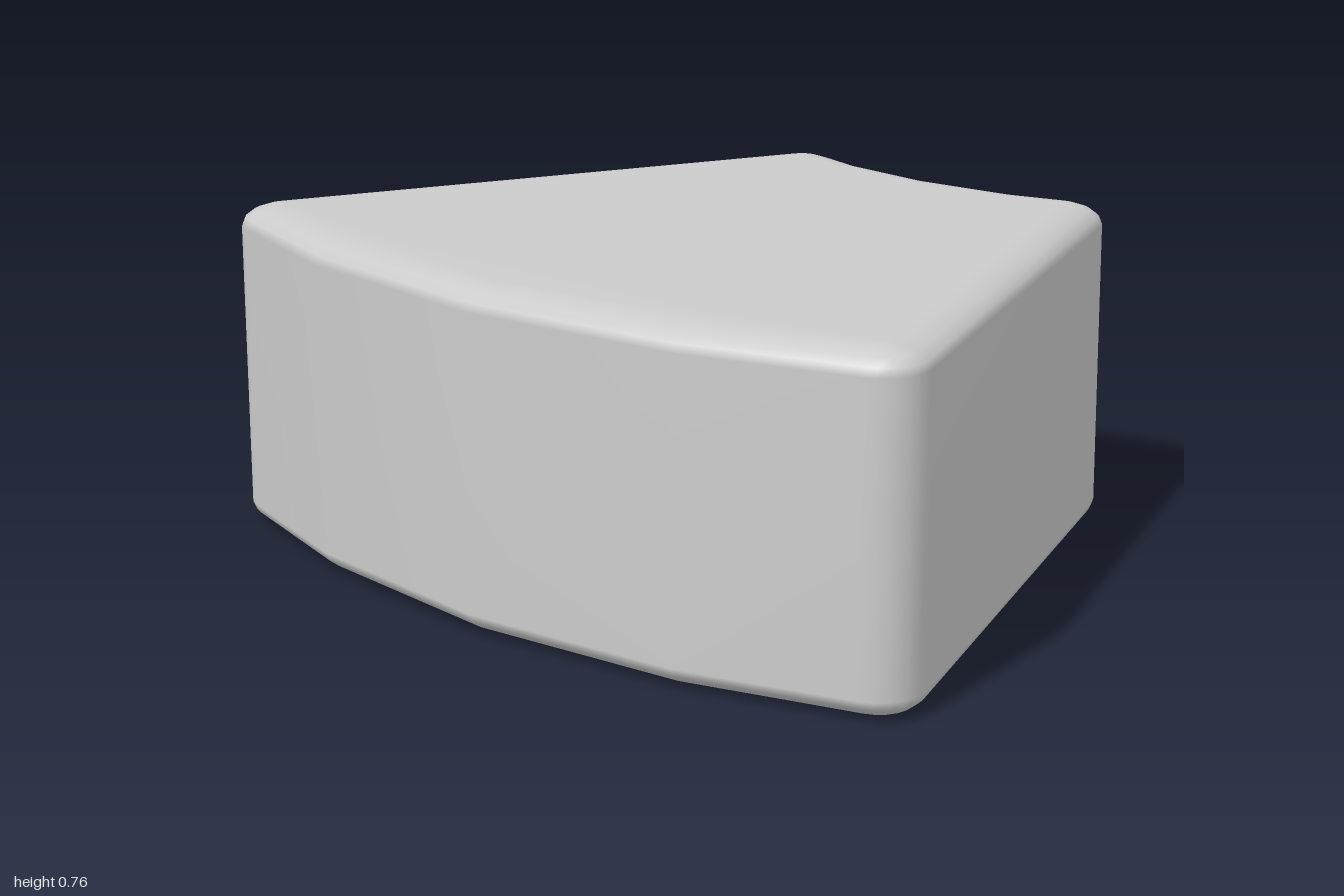
import * as THREE from 'three';

const HEIGHT = 0.76, ROUND = 0.1, DROP = 0.05; // plan radius and height of the rounded edges

// Core outline, right half from front centre to back centre:
// x, z, first and last direction of the outward offset (degrees, 90 = front), steps
const HALF = [
  [0, 0.693, 90, 90, 0],
  [0.515, 0.638, 80, 80, 0],
  [0.9, 0.52, 75, -22.6, 5],
  [0.395, -0.695, -22.6, -106, 5],
  [0.255, -0.656, -101, -101, 0],
  [0, -0.632, -90, -90, 0],
];

function makeWedge() {
  // Mirror the half outline into a full loop
  const mirrored = HALF.slice(1, -1).reverse()
    .map(([x, z, a, b, n]) => [-x, z, 180 - b, 180 - a, n]);
  const core = [...HALF, ...mirrored];

  // Each loop point knows its core corner and its offset direction
  const loop = [];
  core.forEach(([x, z, a, b, n], corner) => {
    for (let i = 0; i <= n; i++) {
      const t = THREE.MathUtils.degToRad(n ? a + (b - a) * i / n : a);
      loop.push({ x, z, dx: Math.cos(t), dz: Math.sin(t), corner });
    }
  });

  // Layers from bottom to top as [offset, y]
  const layers = [], steps = 4;
  for (let i = 1; i <= steps; i++) {
    const t = i / steps * Math.PI / 2;
    layers.push([ROUND * Math.sin(t), DROP * (1 - Math.cos(t))]);
  }
  layers.push(...layers.map(([o, y]) => [o, HEIGHT - y]).reverse());

  const pos = [], index = [];
  const n = loop.length, c = core.length;
  for (const y of [0, HEIGHT]) for (const [x, z] of core) pos.push(x, y, z);
  for (const [o, y] of layers)
    for (const p of loop) pos.push(p.x + o * p.dx, y, p.z + o * p.dz);

  // Walls between layers; the cap rings share one vertex per core corner
  const id = (layer, i) => layer < 0 ? loop[i].corner
    : layer === layers.length ? c + loop[i].corner : 2 * c + layer * n + i;
  const tri = (p, q, r) => { if (p !== q && q !== r && r !== p) index.push(p, q, r); };
  for (let l = -1; l < layers.length; l++)
    for (let i = 0; i < n; i++) {
      const j = (i + 1) % n;
      tri(id(l, i), id(l, j), id(l + 1, j));
      tri(id(l, i), id(l + 1, j), id(l + 1, i));
    }

  // Flat top and bottom
  const flat = core.map(([x, z]) => new THREE.Vector2(x, -z));
  for (const [p, q, r] of THREE.ShapeUtils.triangulateShape(flat, [])) {
    tri(c + p, c + q, c + r);
    tri(p, r, q);
  }

  const geometry = new THREE.BufferGeometry();
  geometry.setAttribute('position', new THREE.Float32BufferAttribute(pos, 3));
  geometry.setIndex(index);
  geometry.computeVertexNormals();
  return geometry;
}

export function createModel() {
  const group = new THREE.Group();
  const wedge = new THREE.Mesh(makeWedge(), new THREE.MeshStandardMaterial({ color: 0xcccccc }));
  wedge.name = 'curvedWedgeBlock';
  group.add(wedge);
  return group;
}
